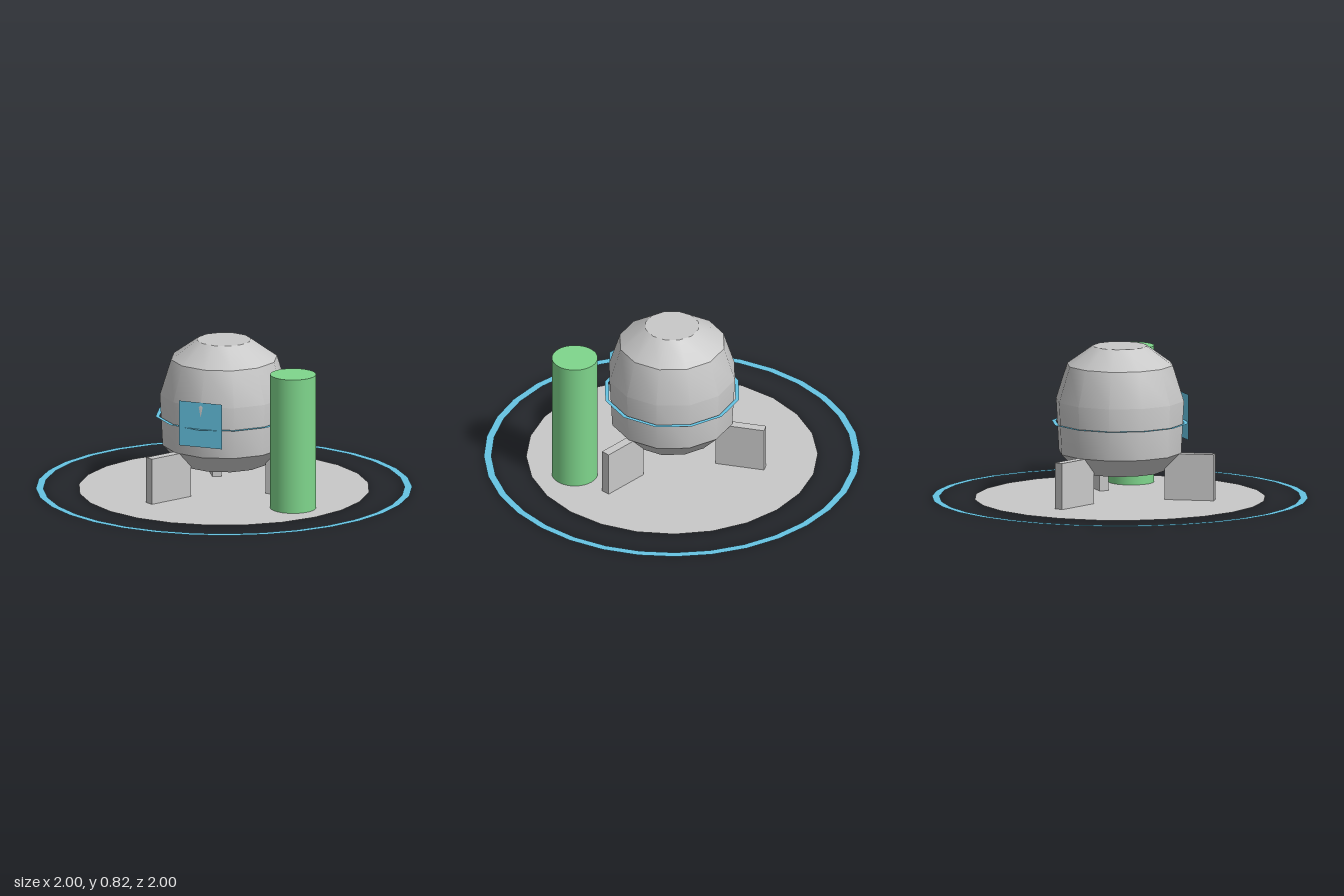
import * as THREE from 'three';
import { toCreasedNormals } from 'three/addons/utils/BufferGeometryUtils.js';

export function createModel() {
  const model = new THREE.Group();
  model.name = 'landedPod';

  const mat = (name, color, side = THREE.FrontSide) => {
    const m = new THREE.MeshStandardMaterial({ color, side });
    m.name = name;
    return m;
  };
  const grey = mat('grey', 0xc8c8c8, THREE.DoubleSide);
  const blue = mat('blue', 0x66c4e3, THREE.DoubleSide);
  const green = mat('green', 0x7fd68c);

  const add = (name, geometry, material, x = 0, y = 0, z = 0) => {
    const mesh = new THREE.Mesh(geometry, material);
    mesh.name = name;
    mesh.position.set(x, y, z);
    model.add(mesh);
    return mesh;
  };

  // Flat pieces lying on the ground or around the body
  const flat = (geometry) => geometry.rotateX(-Math.PI / 2);
  add('landingPad', flat(new THREE.CircleGeometry(0.775, 24)), grey, 0, 0.002, 0);
  add('boundaryRing', flat(new THREE.RingGeometry(0.96, 1, 32)), blue, 0, 0.005, 0);
  add('bodyRing', flat(new THREE.RingGeometry(0.347, 0.368, 12)), blue, 0, 0.41, 0);

  // Twelve-sided body with creased rims
  const profile = [
    [0, 0.15], [0.235, 0.15], [0.33, 0.25], [0.345, 0.53],
    [0.285, 0.72], [0.145, 0.82], [0, 0.82],
  ].map(([r, y]) => new THREE.Vector2(r, y));
  add('body', toCreasedNormals(new THREE.LatheGeometry(profile, 12), 0.6), grey);

  // Front window panel, just touching the body's front edge
  add('windowPanel', new THREE.PlaneGeometry(0.245, 0.245), blue, 0, 0.433, 0.342);

  // Three radial legs
  for (let i = 0; i < 3; i++) {
    const leg = new THREE.BoxGeometry(0.265, 0.248, 0.049).translate(0.3775, 0.126, 0);
    add('leg' + (i + 1), leg, grey).rotation.y = (i * Math.PI * 2) / 3;
  }

  // Standing tank beside the body
  add('tank', new THREE.CylinderGeometry(0.122, 0.122, 0.735, 32), green, 0.49, 0.3675, 0.245);

  return model;
}
